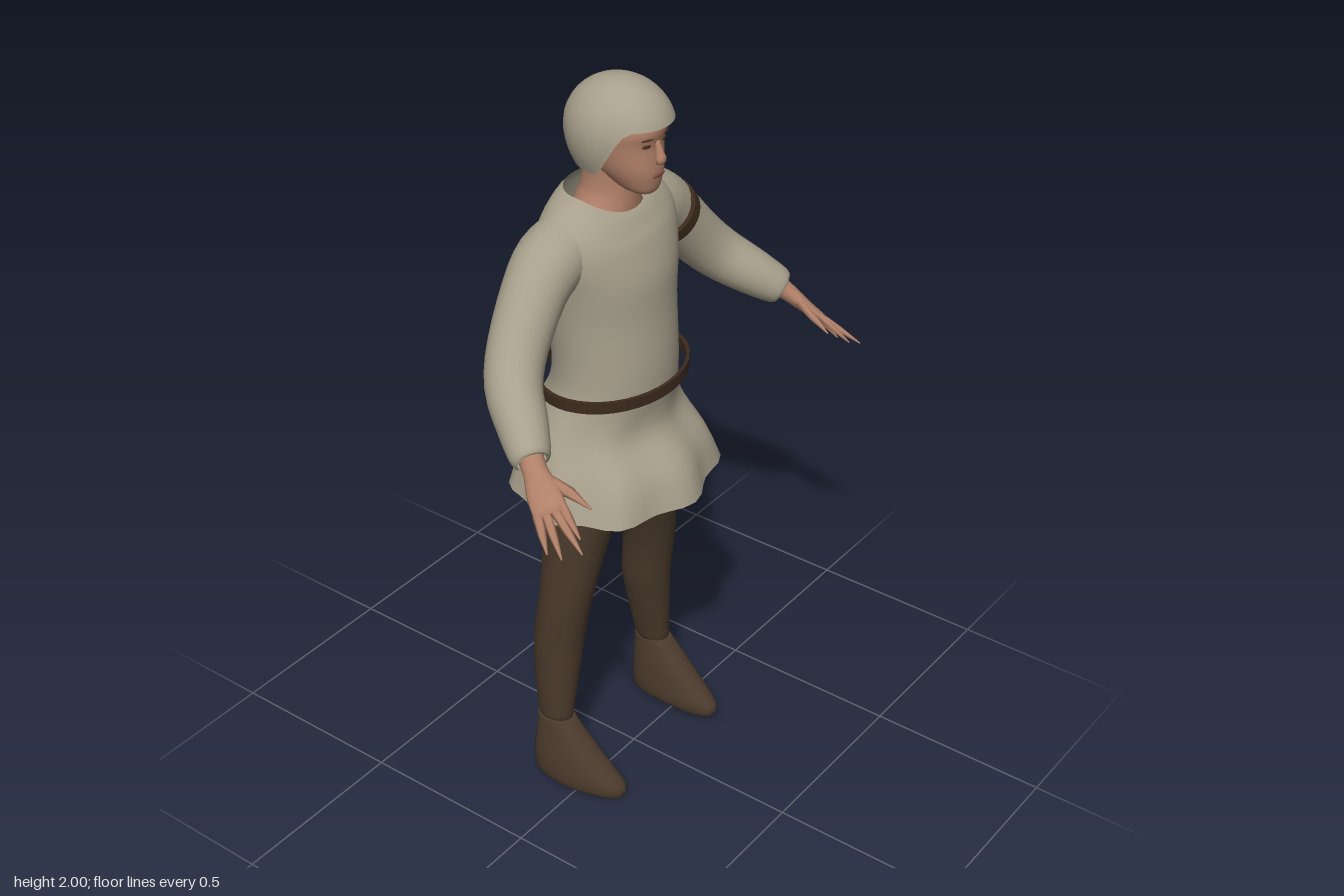
import * as THREE from 'three';
import { toCreasedNormals } from 'three/addons/utils/BufferGeometryUtils.js';

const material = (name, color, side = THREE.FrontSide) => {
  const m = new THREE.MeshStandardMaterial({ color, side });
  m.name = name;
  return m;
};

// Skin a stack of closed rings; optional rounded end caps
function loft(rings, caps = true) {
  const n = rings[0].length, pos = [], idx = [];
  rings.forEach(r => r.forEach(p => pos.push(p.x, p.y, p.z)));
  for (let j = 0; j < rings.length - 1; j++) {
    for (let i = 0; i < n; i++) {
      const a = j * n + i, b = j * n + (i + 1) % n;
      idx.push(a, a + n, b, b, a + n, b + n);
    }
  }
  if (caps) {
    [0, rings.length - 1].forEach((j, end) => {
      const c = rings[j].reduce((s, p) => s.add(p), new THREE.Vector3()).divideScalar(n);
      const k = pos.push(c.x, c.y, c.z) / 3 - 1;
      for (let i = 0; i < n; i++) {
        const a = j * n + i, b = j * n + (i + 1) % n;
        idx.push(k, ...(end ? [b, a] : [a, b]));
      }
    });
  }
  const g = new THREE.BufferGeometry();
  g.setAttribute('position', new THREE.Float32BufferAttribute(pos, 3));
  g.setIndex(idx);
  g.computeVertexNormals();
  return g;
}

// Smoothly resample rows of numbers
function smooth(rows, sub = 3) {
  const out = [], at = i => rows[Math.min(Math.max(i, 0), rows.length - 1)];
  for (let i = 0; i < rows.length - 1; i++) {
    for (let s = 0; s < sub; s++) {
      const t = s / sub;
      out.push(rows[i].map((p, k) => {
        const m0 = (at(i + 1)[k] - at(i - 1)[k]) / 2, m1 = (at(i + 2)[k] - p) / 2, q = at(i + 1)[k];
        return p * (2 * t ** 3 - 3 * t * t + 1) + m0 * (t ** 3 - 2 * t * t + t)
          + q * (3 * t * t - 2 * t ** 3) + m1 * (t ** 3 - t * t);
      }));
    }
  }
  out.push(rows[rows.length - 1]);
  return out;
}

const spow = (v, p) => Math.sign(v) * Math.abs(v) ** p;

// Upright body from rows [y, centreX, halfWidth, zFront, zBack], bottom to top
function upright(rows, { n = 24, p = 1, caps = true, s = 1, warp } = {}) {
  return loft(smooth(rows).map(([y, cx, hw, zf, zb]) => Array.from({ length: n }, (_, i) => {
    const a = i / n * Math.PI * 2;
    const v = new THREE.Vector3(s * cx + hw * spow(Math.cos(a), p), y,
      (zf + zb) / 2 + (zf - zb) / 2 * spow(Math.sin(a), p));
    if (warp) warp(v, a);
    return v;
  })), caps);
}

// Limb from rows [x, y, z, radiusU, radiusV]; ref gives the U direction
function limb(rows, ref, { n = 14, caps = true, s = 1, sub = 3 } = {}) {
  const rs = smooth(rows, sub), c = rs.map(r => new THREE.Vector3(s * r[0], r[1], r[2]));
  const w = ref.clone();
  w.x *= s;
  return loft(rs.map((r, j) => {
    const t = c[Math.min(j + 1, c.length - 1)].clone().sub(c[Math.max(j - 1, 0)]).normalize();
    const u = w.clone().addScaledVector(t, -w.dot(t)).normalize();
    const v = u.clone().cross(t);
    return Array.from({ length: n }, (_, i) => {
      const a = i / n * Math.PI * 2;
      return c[j].clone().addScaledVector(u, r[3] * Math.cos(a)).addScaledVector(v, r[4] * Math.sin(a));
    });
  }), caps);
}

// Flat strap ring around the y axis
function strap(r, h, t) {
  const pts = [[r - t, -h], [r, -h], [r, h], [r - t, h], [r - t, -h]].map(q => new THREE.Vector2(...q));
  return toCreasedNormals(new THREE.LatheGeometry(pts, 40), 0.7);
}

export function createModel() {
  const group = new THREE.Group();
  const cloth = material('cloth', 0xa8a08c, THREE.DoubleSide);
  const hose = material('hose', 0x48382a);
  const leather = material('bootLeather', 0x4b3a2c);
  const strapMat = material('strapLeather', 0x3c2a1d);
  const skin = material('skin', 0xb08068);
  const dark = material('eyeDark', 0x4a3026);
  const lip = material('lips', 0x804f42);
  const add = (name, geometry, mat) => {
    const m = new THREE.Mesh(geometry, mat);
    m.name = name;
    group.add(m);
    return m;
  };

  // Tunic: flared skirt, waist, chest and scooped neckline
  add('tunic', upright([
    [0.89, 0, 0.293, 0.182, -0.302], [0.98, 0, 0.262, 0.152, -0.285], [1.06, 0, 0.233, 0.09, -0.265],
    [1.12, 0, 0.206, 0.08, -0.245], [1.19, 0, 0.18, 0.09, -0.215], [1.28, 0, 0.176, 0.09, -0.21],
    [1.4, 0, 0.185, 0.08, -0.224], [1.5, 0, 0.2, 0.075, -0.225], [1.58, 0, 0.222, 0.052, -0.22],
    [1.645, 0, 0.21, 0.028, -0.208], [1.69, 0, 0.155, 0.012, -0.195], [1.71, 0, 0.112, 0.0, -0.182],
  ], {
    n: 48, caps: false, warp: (v, a) => {
      const fold = 0.014 * Math.max(0, (1.15 - v.y) / 0.26) * Math.cos(8 * a);
      v.x += fold * Math.cos(a);
      v.z += fold * Math.sin(a);
      v.y -= 0.045 * Math.max(0, (v.y - 1.6) / 0.11) * Math.max(0, Math.sin(a)) ** 1.5;
    },
  }), cloth);

  // Loose belt
  const belt = add('belt', strap(1, 0.015, 0.05), strapMat);
  belt.scale.set(0.224, 1, 0.178);
  belt.position.set(0, 1.2, -0.068);

  // Arms, hands, legs and boots on both sides
  const handSide = new THREE.Vector3(-0.7, 0.41, 0.58);
  for (const s of [1, -1]) {
    const side = s > 0 ? 'left' : 'right';
    add(side + 'Sleeve', limb([
      [0.12, 1.6, -0.1, 0.085, 0.085], [0.2, 1.575, -0.1, 0.088, 0.088], [0.27, 1.523, -0.095, 0.08, 0.08],
      [0.36, 1.42, -0.075, 0.074, 0.074], [0.42, 1.352, -0.04, 0.07, 0.07], [0.47, 1.3, 0.025, 0.063, 0.063],
      [0.515, 1.255, 0.085, 0.05, 0.05], [0.522, 1.248, 0.095, 0.036, 0.036],
    ], new THREE.Vector3(0, 0, 1), { n: 20, caps: false, s }), cloth);

    add(side + 'Palm', limb([
      [0.505, 1.27, 0.07, 0.034, 0.03], [0.53, 1.235, 0.11, 0.03, 0.024],
      [0.55, 1.2, 0.15, 0.041, 0.018], [0.572, 1.168, 0.19, 0.042, 0.012],
    ], handSide, { s }), skin);
    const tips = [[0.62, 1.092, 0.215], [0.616, 1.092, 0.255], [0.596, 1.115, 0.3], [0.568, 1.13, 0.272]];
    tips.forEach((tip, i) => {
      const k = -0.031 + 0.02 * i;
      const base = [0.567 + handSide.x * k, 1.176 + handSide.y * k, 0.181 + handSide.z * k];
      const mid = base.map((b, j) => (b + tip[j]) / 2);
      add(side + 'Finger' + (i + 1), limb([[...base, 0.013, 0.011], [...mid, 0.0105, 0.009], [...tip, 0.002, 0.002]],
        handSide, { n: 6, s, sub: 1 }), skin);
    });
    add(side + 'Thumb', limb([[0.53, 1.222, 0.14, 0.018, 0.013], [0.512, 1.2, 0.2, 0.014, 0.011],
      [0.504, 1.172, 0.255, 0.002, 0.002]], handSide, { n: 6, s, sub: 1 }), skin);

    add(side + 'Leg', upright([
      [0.18, 0.221, 0.036, -0.05, -0.148], [0.3, 0.209, 0.05, -0.042, -0.165], [0.42, 0.195, 0.062, -0.035, -0.175],
      [0.5, 0.19, 0.064, -0.025, -0.17], [0.6, 0.18, 0.069, -0.01, -0.16], [0.75, 0.15, 0.085, 0.012, -0.163],
      [0.89, 0.12, 0.1, 0.03, -0.172], [1.0, 0.1, 0.1, 0.03, -0.18], [1.08, 0.09, 0.085, 0.02, -0.17],
    ], { n: 18, s }), hose);
    add(side + 'Boot', upright([
      [0, 0.224, 0.044, 0.112, -0.15], [0.012, 0.224, 0.054, 0.125, -0.158], [0.04, 0.224, 0.058, 0.124, -0.16],
      [0.08, 0.224, 0.055, 0.078, -0.16], [0.12, 0.222, 0.05, 0.032, -0.156],
      [0.16, 0.221, 0.043, -0.008, -0.153], [0.2, 0.22, 0.038, -0.048, -0.15],
    ], {
      // narrow the toe and turn it slightly inward
      n: 20, p: 0.8, s, warp: v => {
        const toe = Math.max(0, v.z + 0.02) / 0.145;
        v.x = s * 0.224 + (v.x - s * 0.224) * (1 - 0.25 * toe) - s * 0.012 * toe;
      },
    }), leather);
  }

  // Strap tied round the left upper arm
  const band = add('armBand', strap(0.091, 0.016, 0.012), strapMat);
  band.position.set(0.245, 1.53, -0.088);
  band.quaternion.setFromUnitVectors(new THREE.Vector3(0, 1, 0), new THREE.Vector3(0.65, -0.76, 0.03).normalize());

  // Neck and head
  add('neck', upright([
    [1.62, 0, 0.125, -0.005, -0.172], [1.67, 0, 0.09, -0.002, -0.162],
    [1.72, 0, 0.066, -0.002, -0.146], [1.8, 0, 0.066, 0.0, -0.14],
  ]), skin);
  add('head', upright([
    [1.722, 0, 0.022, 0.052, 0.0], [1.732, 0, 0.04, 0.063, -0.03], [1.755, 0, 0.056, 0.069, -0.07],
    [1.785, 0, 0.071, 0.073, -0.11], [1.82, 0, 0.081, 0.07, -0.135], [1.855, 0, 0.087, 0.068, -0.15],
    [1.89, 0, 0.089, 0.074, -0.15], [1.93, 0, 0.082, 0.055, -0.14], [1.96, 0, 0.06, 0.02, -0.1],
  ], { n: 28, p: 0.92 }), skin);
  add('nose', limb([[0, 1.862, 0.066, 0.007, 0.006], [0, 1.835, 0.073, 0.01, 0.011],
    [0, 1.816, 0.078, 0.015, 0.013], [0, 1.806, 0.072, 0.01, 0.006]], new THREE.Vector3(1, 0, 0), { n: 10 }), skin);
  const spot = (name, mat, x, y, z, w, h) => {
    const m = add(name, new THREE.SphereGeometry(1, 12, 8), mat);
    m.position.set(x, y, z);
    m.scale.set(w, h, 0.0045);
    m.rotation.y = x * 9;
  };
  for (const s of [1, -1]) {
    spot('eye', dark, s * 0.034, 1.856, 0.061, 0.013, 0.005);
    spot('eyebrow', dark, s * 0.036, 1.874, 0.065, 0.018, 0.0025);
  }
  spot('mouth', lip, 0, 1.776, 0.072, 0.024, 0.006);

  // Close cap with side flaps and an open face
  const capRings = Array.from({ length: 15 }, (_, j) => Array.from({ length: 40 }, (_, i) => {
    const a = i / 40 * Math.PI * 2, f = Math.sin(a);
    const low = 1.78 + 0.125 * THREE.MathUtils.smoothstep(f, 0, 0.7);
    const y = low + (2 - low) * Math.sin(Math.PI / 2 * j / 14);
    const d = y - 1.87;
    const r = d > 0 ? Math.sqrt(Math.max(0, 1 - (d / 0.13) ** 2)) : 1 - 0.18 * (d / 0.09) ** 2;
    return new THREE.Vector3(0.122 * r * Math.cos(a), y, -0.0425 + 0.1425 * r * f);
  }));
  add('cap', loft(capRings, false), cloth);

  return group;
}
